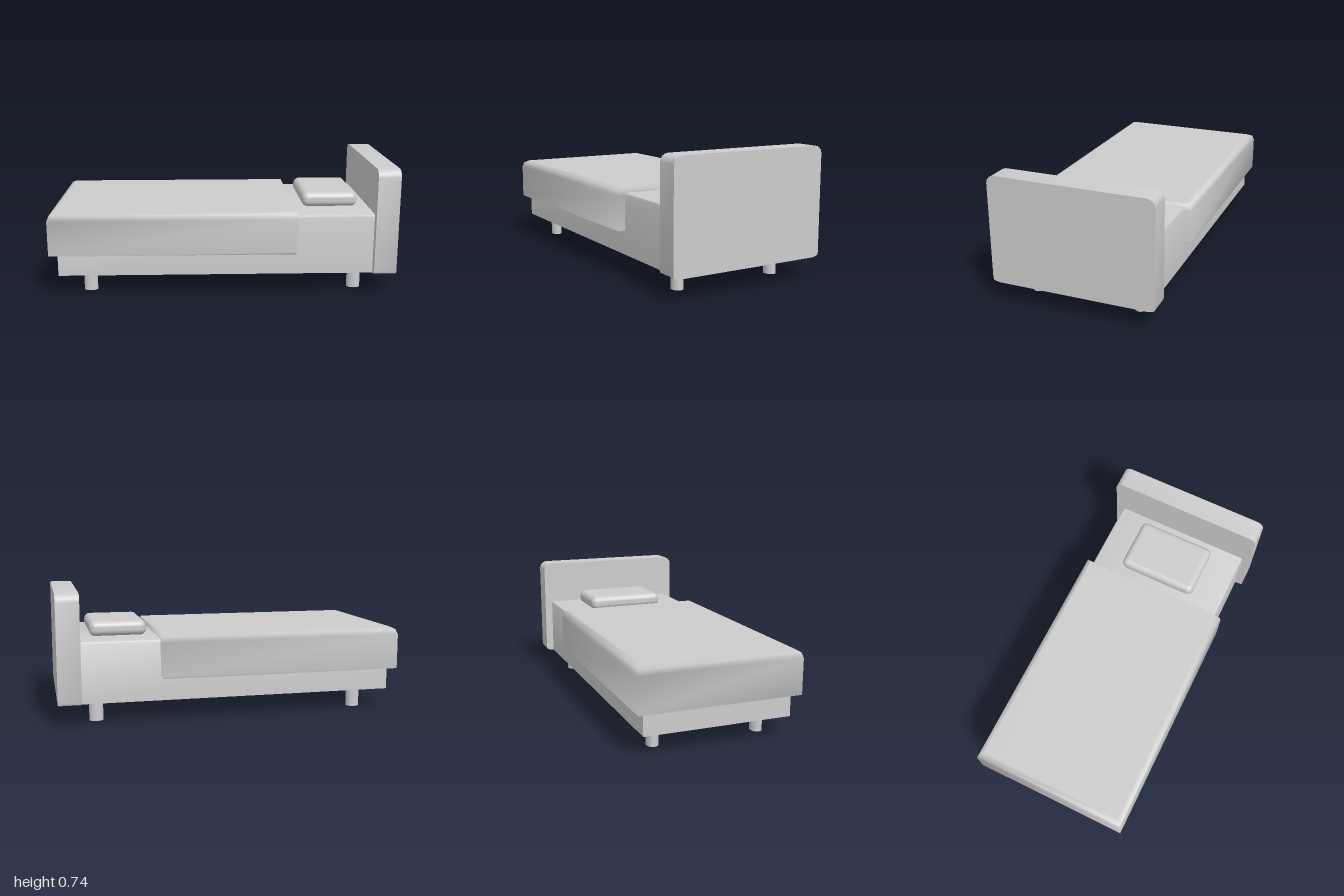
import * as THREE from 'three';
import { RoundedBoxGeometry } from 'three/addons/geometries/RoundedBoxGeometry.js';
import { toCreasedNormals } from 'three/addons/utils/BufferGeometryUtils.js';

// Extrude a z-y outline (given for its +z half, bottom to top) along x.
function extrudeAlongX(half, x0, x1) {
  const pts = half.map(([z, y]) => new THREE.Vector2(z, y));
  const mirrored = half.slice().reverse().map(([z, y]) => new THREE.Vector2(-z, y));
  const geo = new THREE.ExtrudeGeometry(new THREE.Shape([...pts, ...mirrored]), { depth: x1 - x0, bevelEnabled: false });
  geo.rotateY(Math.PI / 2).translate(x0, 0, 0);
  return toCreasedNormals(geo, 0.7);
}

// Draped cover: stacked rectangles that shrink over the rounded top edge.
function coverGeometry() {
  const rings = [ // y, foot x, head x, half width
    [0.25, -1, 0.415, 0.467], [0.262, -1, 0.424, 0.467], [0.455, -1, 0.424, 0.467],
    [0.485, -0.988, 0.424, 0.458], [0.5, -0.96, 0.416, 0.43],
  ];
  const pos = [], index = [];
  const addRing = ([y, a, b, w]) => pos.push(a, y, w, b, y, w, b, y, -w, a, y, -w);
  rings.forEach(addRing);
  for (let r = 0; r < rings.length - 1; r++) {
    for (let i = 0; i < 4; i++) {
      const a = r * 4 + i, b = r * 4 + (i + 1) % 4;
      index.push(a, b, b + 4, a, b + 4, a + 4);
    }
  }
  const t = (rings.length - 1) * 4;
  index.push(t, t + 1, t + 2, t, t + 2, t + 3);
  // separate corners keep the underside flat
  addRing(rings[0]);
  const u = rings.length * 4;
  index.push(u, u + 2, u + 1, u, u + 3, u + 2);
  const geo = new THREE.BufferGeometry();
  geo.setAttribute('position', new THREE.Float32BufferAttribute(pos, 3));
  geo.setIndex(index);
  geo.computeVertexNormals();
  return geo;
}

export function createModel() {
  const group = new THREE.Group();
  const grey = new THREE.MeshStandardMaterial({ color: 0xcccccc });
  grey.name = 'light grey';
  const add = (name, geo) => {
    const mesh = new THREE.Mesh(geo, grey);
    mesh.name = name;
    group.add(mesh);
    return mesh;
  };

  // Base with mattress, softened along its top edges
  add('mattressBase', extrudeAlongX([[0.425, 0.12], [0.425, 0.455], [0.42, 0.466], [0.408, 0.471]], -0.955, 0.88));

  // Headboard with rounded corners
  add('headboard', extrudeAlongX([
    [0.43, 0.12], [0.456, 0.124], [0.468, 0.13], [0.472, 0.142],
    [0.472, 0.695], [0.468, 0.712], [0.457, 0.727], [0.443, 0.735], [0.425, 0.739],
  ], 0.87, 1));

  add('blanket', coverGeometry());

  // Pillow with softly sunken edges
  const pillow = new RoundedBoxGeometry(0.33, 0.086, 0.48, 5, 0.036);
  pillow.translate(0.64, 0.512, -0.005);
  add('pillow', pillow);

  // Four short oval legs
  for (const x of [-0.784, 0.782]) {
    for (const z of [-0.311, 0.311]) {
      const leg = new THREE.CylinderGeometry(1, 1, 0.13, 20);
      leg.scale(0.04, 1, 0.033).translate(x, 0.065, z);
      add('leg', leg);
    }
  }
  return group;
}
